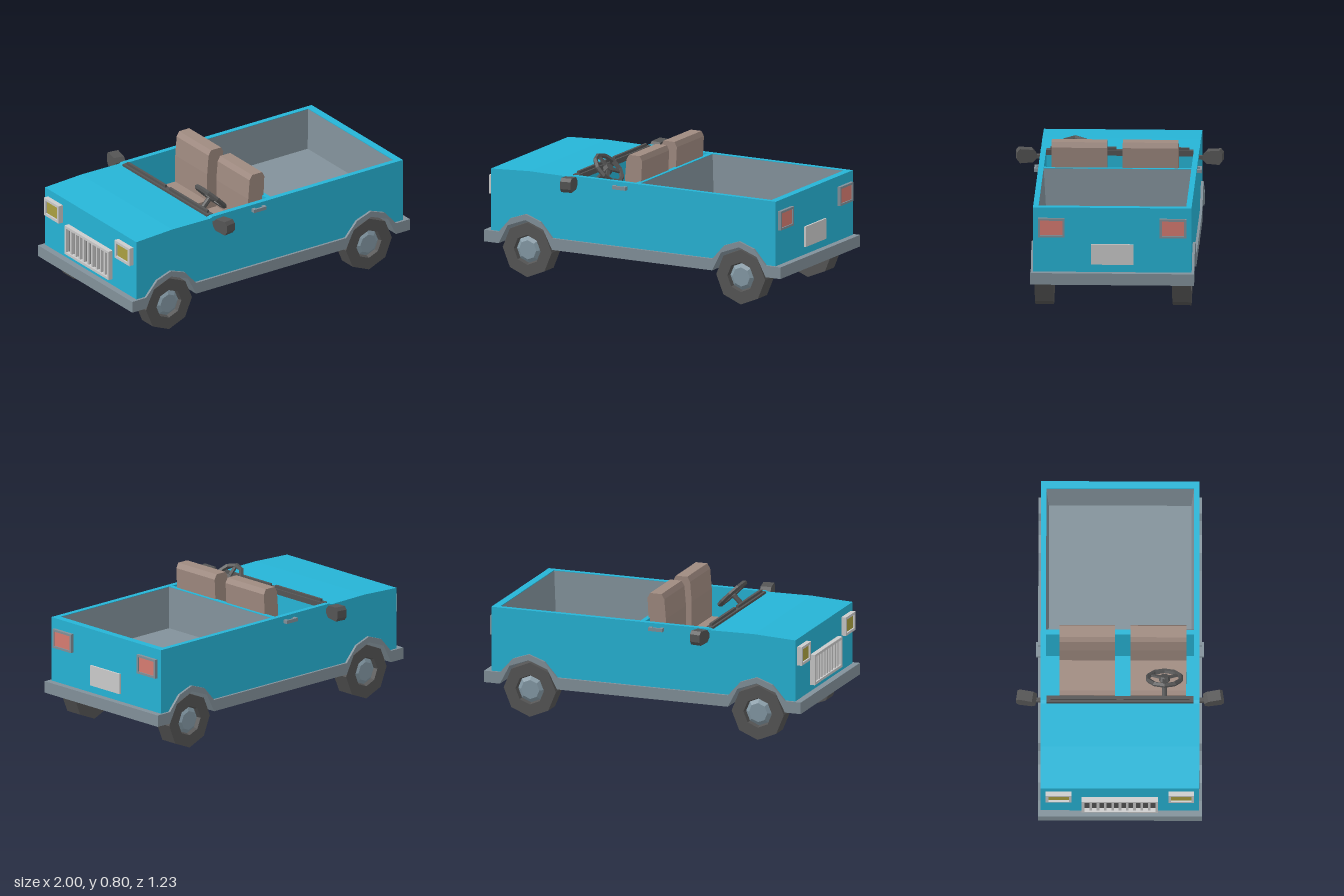
import * as THREE from 'three';

const mat = (color) => new THREE.MeshStandardMaterial({ color, flatShading: true, side: THREE.DoubleSide });
const BLUE = mat(0x26b4d6), TRIM = mat(0x82919a), DARK = mat(0x555555), SEAT = mat(0x9f8a80);
const RED = mat(0xd87c72), LIGHT = mat(0xcccccc), HUB = mat(0x8499a5), LENS = mat(0xaaa040);
const WHEEL_X = 0.72;

function add(parent, name, geometry, material, x = 0, y = 0, z = 0) {
  const mesh = new THREE.Mesh(geometry, material);
  mesh.name = name;
  mesh.position.set(x, y, z);
  parent.add(mesh);
  return mesh;
}

// Box given by its limits on each axis
function box(parent, name, material, [x0, x1], [y0, y1], [z0, z1]) {
  const g = new THREE.BoxGeometry(x1 - x0, y1 - y0, z1 - z0);
  return add(parent, name, g, material, (x0 + x1) / 2, (y0 + y1) / 2, (z0 + z1) / 2);
}

// Side profile extruded from z0 to z1
function slab(parent, name, material, points, z0, z1) {
  const shape = new THREE.Shape(points.map(([x, y]) => new THREE.Vector2(x, y)));
  const g = new THREE.ExtrudeGeometry(shape, { depth: z1 - z0, bevelEnabled: false });
  return add(parent, name, g, material, 0, 0, z0);
}

// Rectangular frame standing on an end of the car, facing along x
function frame(parent, name, material, x, depth, [y0, y1], [z0, z1], t) {
  const g = new THREE.Group();
  g.name = name;
  const xs = [x - depth / 2, x + depth / 2];
  for (const ys of [[y0, y0 + t], [y1 - t, y1]]) box(g, 'frameRail', material, xs, ys, [z0, z1]);
  for (const zs of [[z0, z0 + t], [z1 - t, z1]]) box(g, 'framePost', material, xs, [y0 + t, y1 - t], zs);
  parent.add(g);
}

const outerArch = [[-0.18, 0.26], [-0.1, 0.35], [0, 0.385], [0.1, 0.35], [0.18, 0.26]];
const innerArch = [[-0.18, 0.19], [-0.12, 0.305], [0, 0.35], [0.12, 0.305], [0.18, 0.19]];
const archAt = (arch, cx, dy = 0) => arch.map(([x, y]) => [x + cx, y + dy]);

function addBody(car) {
  const frontArch = archAt(outerArch, -WHEEL_X, -0.015);
  const rearArch = archAt(outerArch, WHEEL_X, -0.015);
  const hoodTop = [[-0.43, 0.642], [-0.7, 0.645], [-0.96, 0.632]];
  const side = [[-0.96, 0.245], ...frontArch, ...rearArch, [0.96, 0.245], [0.96, 0.65], [-0.41, 0.65], ...hoodTop];
  slab(car, 'leftSidePanel', BLUE, side, 0.435, 0.467);
  slab(car, 'rightSidePanel', BLUE, side, -0.467, -0.435);
  slab(car, 'hood', BLUE, [[-0.96, 0.245], ...frontArch, [-0.42, 0.245], ...hoodTop], -0.436, 0.436);
  box(car, 'cabinFloor', BLUE, [-0.43, 0.03], [0.24, 0.28], [-0.436, 0.436]);
  box(car, 'cabinDivider', BLUE, [0, 0.03], [0.25, 0.649], [-0.436, 0.436]);
  box(car, 'tailgate', BLUE, [0.915, 0.96], [0.245, 0.65], [-0.436, 0.436]);

  // Tapered cargo bed lining
  const liner = new THREE.CylinderGeometry(Math.SQRT1_2, Math.SQRT1_2 * 0.965, 1, 4, 1, true);
  liner.rotateY(Math.PI / 4).scale(0.882, 0.25, 0.87);
  add(car, 'bedLiner', liner, TRIM, 0.472, 0.522, 0);
  box(car, 'bedFloor', TRIM, [0.03, 0.915], [0.385, 0.4], [-0.434, 0.434]);

  // Lower trim, bumpers and underbody in one piece
  const top = [[-1, 0.26], ...archAt(outerArch, -WHEEL_X), ...archAt(outerArch, WHEEL_X), [1, 0.26]];
  const bottom = [[-1, 0.19], ...archAt(innerArch, -WHEEL_X), ...archAt(innerArch, WHEEL_X), [1, 0.19]];
  slab(car, 'lowerTrim', TRIM, [...bottom, ...top.reverse()], -0.482, 0.482);
}

function addWheel(side, x) {
  const wheel = new THREE.Group();
  wheel.name = x < 0 ? 'frontWheel' : 'rearWheel';
  wheel.position.set(x, 0.165, 0.405);
  wheel.rotation.x = Math.PI / 2;
  const profile = [[0, -0.055], [0.165, -0.055], [0.165, 0.055], [0.09, 0.055], [0.082, 0.03], [0, 0.03]];
  add(wheel, 'tyre', new THREE.LatheGeometry(profile.map(([r, y]) => new THREE.Vector2(r, y)), 8), DARK);
  add(wheel, 'hub', new THREE.CylinderGeometry(0.058, 0.082, 0.018, 8), HUB, 0, 0.04, 0);
  side.add(wheel);
}

// Everything that appears once on each flank
function addFlank(car, s) {
  const side = new THREE.Group();
  side.name = s > 0 ? 'leftFlank' : 'rightFlank';
  side.scale.z = s;
  addWheel(side, -WHEEL_X);
  addWheel(side, WHEEL_X);

  const outline = [[0, 0.605], [0.022, 0.582], [0.1, 0.578], [0.117, 0.6], [0.117, 0.645], [0.1, 0.664], [0.022, 0.657], [0, 0.632]];
  const mirror = slab(side, 'mirror', DARK, outline, 0, 0.065);
  mirror.rotation.y = -Math.PI / 2 + 0.15;
  mirror.position.set(-0.365, 0, 0.488);
  box(side, 'mirrorArm', DARK, [-0.41, -0.385], [0.6, 0.622], [0.46, 0.495]);

  box(side, 'doorHandle', TRIM, [-0.13, -0.04], [0.607, 0.628], [0.482, 0.494]);
  for (const x of [-0.12, -0.05]) box(side, 'handleMount', TRIM, [x - 0.01, x + 0.01], [0.607, 0.628], [0.46, 0.484]);

  frame(side, 'headlightFrame', LIGHT, -0.975, 0.03, [0.472, 0.585], [0.285, 0.437], 0.016);
  box(side, 'headlight', LENS, [-0.98, -0.955], [0.485, 0.572], [0.298, 0.424]);
  frame(side, 'tailLightFrame', TRIM, 0.968, 0.024, [0.472, 0.587], [0.28, 0.438], 0.013);
  box(side, 'tailLight', RED, [0.955, 0.973], [0.482, 0.577], [0.29, 0.428]);
  car.add(side);
}

function addGrille(car) {
  frame(car, 'grilleFrame', LIGHT, -0.975, 0.03, [0.3, 0.485], [-0.225, 0.225], 0.016);
  box(car, 'grilleBack', DARK, [-0.966, -0.955], [0.31, 0.475], [-0.215, 0.215]);
  for (let i = -4; i <= 4; i++) {
    box(car, 'grilleBar', LIGHT, [-0.982, -0.96], [0.31, 0.475], [i * 0.043 - 0.008, i * 0.043 + 0.008]);
  }
}

function addSteering(car) {
  const steering = new THREE.Group();
  steering.name = 'steeringWheel';
  steering.position.set(-0.28, 0.668, 0.262);
  steering.rotation.z = -Math.PI / 4;
  add(steering, 'rim', new THREE.TorusGeometry(0.1, 0.015, 5, 10).rotateX(Math.PI / 2), DARK);
  add(steering, 'hub', new THREE.CylinderGeometry(0.028, 0.034, 0.03, 8), DARK);
  for (let i = 0; i < 3; i++) {
    const g = new THREE.BoxGeometry(0.095, 0.012, 0.022).translate(0.05, 0, 0).rotateY(i * Math.PI * 2 / 3 + Math.PI);
    add(steering, 'spoke', g, DARK);
  }
  add(steering, 'column', new THREE.CylinderGeometry(0.016, 0.016, 0.2, 8), DARK, 0, -0.1, 0);
  car.add(steering);
}

export function createModel() {
  const car = new THREE.Group();
  car.name = 'openTopTruck';
  addBody(car);
  addFlank(car, 1);
  addFlank(car, -1);
  addGrille(car);
  box(car, 'rearPlate', LIGHT, [0.955, 0.972], [0.307, 0.43], [-0.125, 0.125]);

  // Axles
  for (const x of [-WHEEL_X, WHEEL_X]) {
    add(car, 'axle', new THREE.CylinderGeometry(0.022, 0.022, 0.72, 8).rotateX(Math.PI / 2), DARK, x, 0.165, 0);
  }

  // Seats
  const seat = [[-0.31, 0.28], [-0.31, 0.46], [-0.29, 0.48], [-0.1, 0.48], [-0.1, 0.65], [-0.09, 0.77],
    [-0.072, 0.8], [0, 0.8], [0.016, 0.77], [0.01, 0.65], [0.005, 0.28]];
  slab(car, 'driverSeat', SEAT, seat, 0.063, 0.39);
  slab(car, 'passengerSeat', SEAT, seat, -0.357, -0.03);

  // Cowl with two wipers
  box(car, 'cowl', DARK, [-0.425, -0.385], [0.62, 0.652], [-0.434, 0.434]);
  for (const z of [0.02, -0.41]) box(car, 'wiper', DARK, [-0.412, -0.396], [0.648, 0.668], [z, z + 0.39]);
  addSteering(car);
  return car;
}
